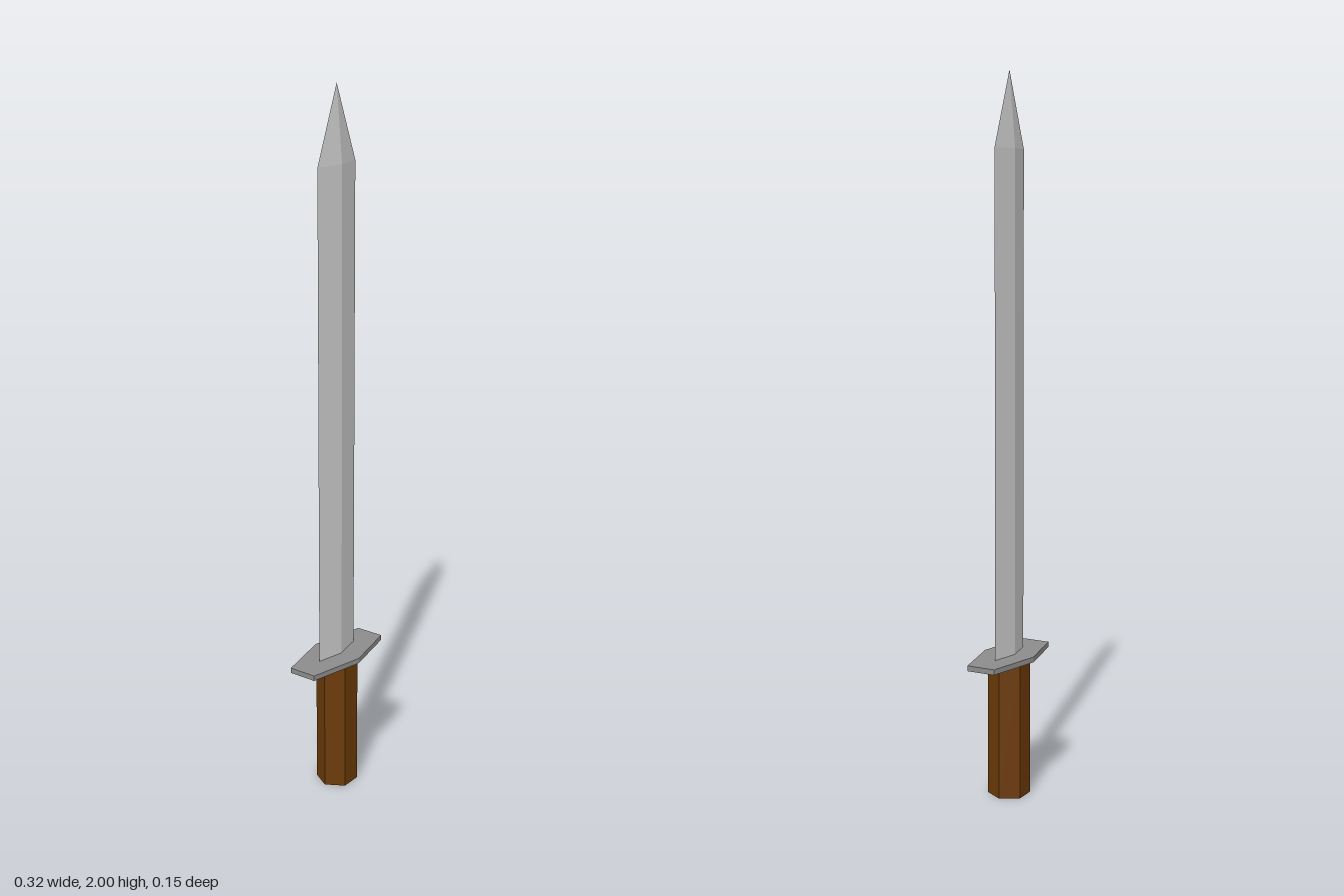
import * as THREE from 'three';

const material = (color) => new THREE.MeshStandardMaterial({ color, flatShading: true });

function addPart(group, name, geometry, mat) {
  const mesh = new THREE.Mesh(geometry, mat);
  mesh.name = name;
  group.add(mesh);
  return mesh;
}

export function createModel() {
  const model = new THREE.Group();
  model.name = 'sword';
  const steel = material(0xcccccc);

  // Diamond-section blade and its four-sided point
  const bladeBottom = 0.4, shoulder = 1.795, tip = 2;
  const bladeLength = shoulder - bladeBottom;
  const blade = addPart(model, 'blade', new THREE.CylinderGeometry(1, 1, bladeLength, 4, 1, true), steel);
  blade.position.y = bladeBottom + bladeLength / 2;
  const point = addPart(model, 'bladePoint', new THREE.ConeGeometry(1, tip - shoulder, 4, 1, true), steel);
  point.position.y = (shoulder + tip) / 2;
  for (const part of [blade, point]) {
    part.scale.set(0.082, 1, 0.0175);
    part.position.z = -0.003;
  }

  // Hexagonal plate guard
  const outline = [[0.162, 0.041], [0, 0.077], [-0.162, 0.041], [-0.162, -0.041], [0, -0.077], [0.162, -0.041]];
  const shape = new THREE.Shape(outline.map(([x, z]) => new THREE.Vector2(x, z)));
  const guardGeometry = new THREE.ExtrudeGeometry(shape, { depth: 0.015, bevelEnabled: false });
  guardGeometry.rotateX(-Math.PI / 2);
  const guard = addPart(model, 'guard', guardGeometry, material(0x8c8c8c));
  guard.position.set(0, 0.39, -0.002);

  // Six-sided wooden grip, with corners on the left and right
  const gripGeometry = new THREE.CylinderGeometry(0.059, 0.059, 0.39, 6);
  gripGeometry.rotateY(Math.PI / 2);
  const grip = addPart(model, 'grip', gripGeometry, material(0x6b3a08));
  grip.position.set(-0.003, 0.195, 0);

  return model;
}
